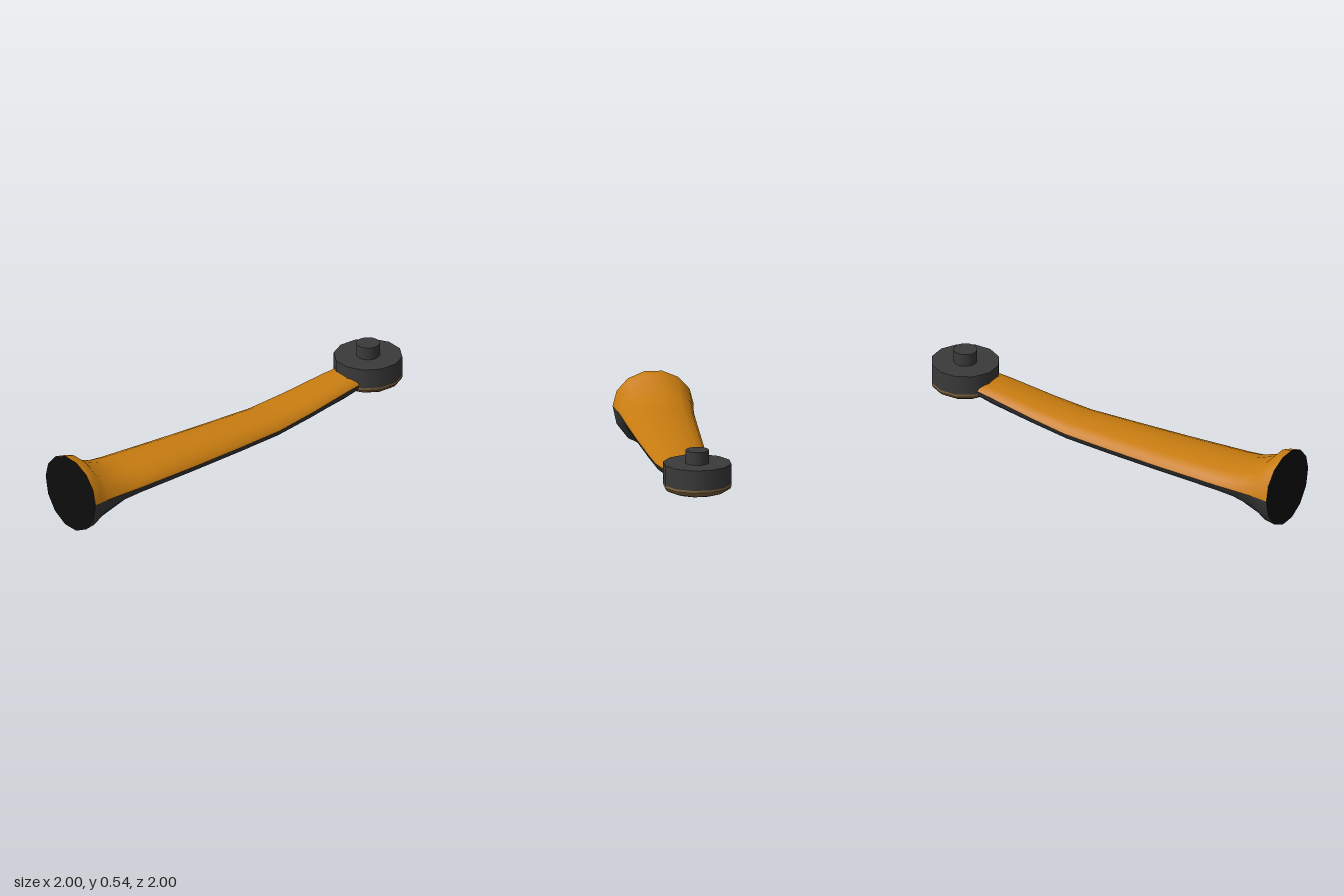
import * as THREE from 'three';

const mat = (name, color, side = THREE.FrontSide) => {
  const m = new THREE.MeshStandardMaterial({ color, side });
  m.name = name;
  return m;
};

// Arm sections from hub to flared end: centre x, top, seam, bottom, half width
const SECTIONS = [
  [0.69, 0.41, 0.37, 0.29, 0.125],
  [0.61, 0.4, 0.355, 0.262, 0.132],
  [0.4, 0.357, 0.305, 0.218, 0.149],
  [0.22, 0.333, 0.27, 0.187, 0.162],
  [0, 0.33, 0.262, 0.175, 0.18],
  [-0.25, 0.33, 0.256, 0.165, 0.198],
  [-0.55, 0.338, 0.254, 0.15, 0.217],
  [-0.64, 0.352, 0.256, 0.13, 0.222],
  [-0.74, 0.405, 0.26, 0.06, 0.232],
  [-0.78, 0.468, 0.262, 0.015, 0.24],
  [-0.825, 0.48, 0.262, 0.004, 0.248],
];
const STEPS = 7;

// Point on a section; angle 0..PI is the upper half, PI..2PI the lower half
function sectionPoint([cx, top, seam, bottom, half], angle) {
  const across = half * Math.cos(angle) * Math.SQRT1_2;
  const s = Math.sin(angle);
  const y = seam + s * (s > 0 ? top - seam : seam - bottom);
  return [cx + across, y, -cx - 0.005 + across];
}

function buildGeometry(positions, indices) {
  const g = new THREE.BufferGeometry();
  g.setAttribute('position', new THREE.Float32BufferAttribute(positions, 3));
  g.setIndex(indices);
  g.computeVertexNormals();
  return g;
}

// Half shell of the arm, lofted through all sections
function shell(startAngle) {
  const p = [], idx = [];
  SECTIONS.forEach((sec, i) => {
    for (let j = 0; j <= STEPS; j++) p.push(...sectionPoint(sec, startAngle + (Math.PI * j) / STEPS));
    if (i === SECTIONS.length - 1) return;
    for (let j = 0; j < STEPS; j++) {
      const a = i * (STEPS + 1) + j, c = a + STEPS + 1;
      idx.push(a, a + 1, c, a + 1, c + 1, c);
    }
  });
  return buildGeometry(p, idx);
}

// Flat disc closing one section
function endDisc(sec, flip) {
  const n = STEPS * 2, p = [sec[0], sec[2], -sec[0] - 0.005], idx = [];
  for (let j = 0; j < n; j++) {
    p.push(...sectionPoint(sec, (2 * Math.PI * j) / n));
    const a = 1 + j, b = 1 + ((j + 1) % n);
    idx.push(0, flip ? b : a, flip ? a : b);
  }
  return buildGeometry(p, idx);
}

export function createModel() {
  const group = new THREE.Group();
  const orange = mat('orange', 0xc87c10, THREE.DoubleSide);
  const charcoal = mat('charcoal', 0x3a3a3a, THREE.DoubleSide);
  const black = mat('black', 0x0d0d0d);
  const brown = mat('brown', 0x80643f);

  const add = (name, geometry, material, x = 0, y = 0, z = 0) => {
    const m = new THREE.Mesh(geometry, material);
    m.name = name;
    m.position.set(x, y, z);
    group.add(m);
  };

  // Two-tone arm
  add('armUpperShell', shell(0), orange);
  add('armLowerShell', shell(Math.PI), charcoal);
  add('armFlaredEnd', endDisc(SECTIONS[SECTIONS.length - 1], false), black);
  add('armHubEnd', endDisc(SECTIONS[0], true), charcoal);

  // Pivot hub with pin on top
  const hx = 0.788, hz = -0.79, r = 0.21;
  add('hub', new THREE.CylinderGeometry(r, r, 0.125, 12), charcoal, hx, 0.4125, hz);
  add('hubPin', new THREE.CylinderGeometry(0.072, 0.072, 0.085, 20), charcoal, hx, 0.5125, hz);

  // Shallow domed underside with a thin rim
  const dome = [];
  for (let i = 0; i <= 6; i++) {
    const a = (i / 6) * Math.PI / 2;
    dome.push(new THREE.Vector2(r * Math.sin(a), 0.335 - 0.057 * Math.cos(a)));
  }
  add('hubDome', new THREE.LatheGeometry(dome, 12), brown, hx, 0, hz);
  add('hubRim', new THREE.CylinderGeometry(r, r, 0.016, 12, 1, true), brown, hx, 0.343, hz);

  return group;
}
